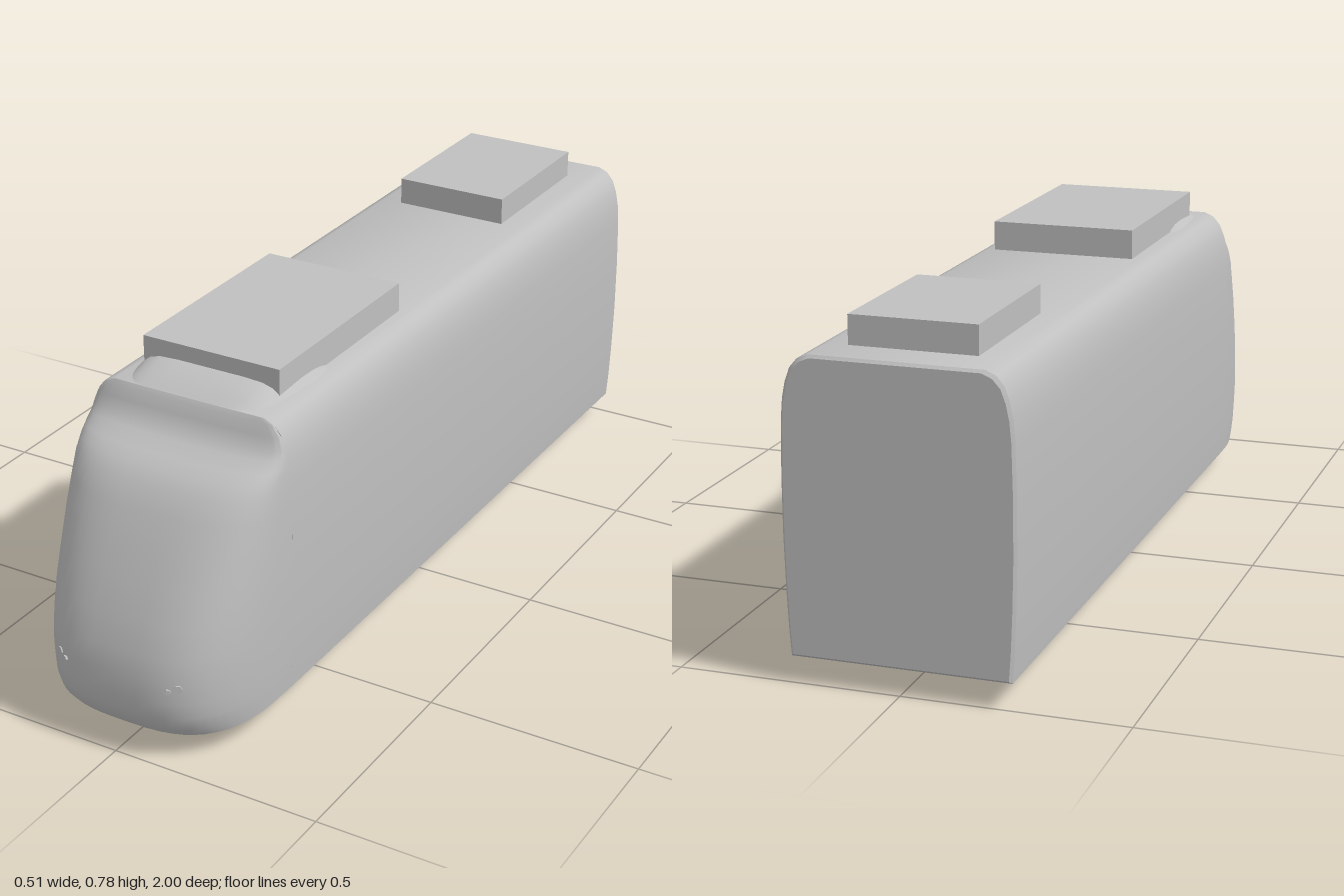
import * as THREE from 'three';
import { toCreasedNormals } from 'three/addons/utils/BufferGeometryUtils.js';

const FLOOR = 0.057, ROOF = 0.71, JOINT = 0.68;

// Half of the body cross-section, floor to roof: [half width, height]
const SIDE = [
  [0.244, FLOOR], [0.248, 0.11], [0.252, 0.2], [0.255, 0.32], [0.255, 0.45], [0.252, 0.57],
  [0.248, 0.615], [0.241, 0.65], [0.23, 0.68], [0.213, 0.7], [0.19, ROOF],
];

// Centre line of the nose: [front z, height]
const NOSE = [
  [0.965, FLOOR], [0.985, 0.08], [0.998, 0.115], [1, 0.15], [0.999, 0.2], [0.988, 0.255],
  [0.965, 0.32], [0.935, 0.39], [0.9, 0.46], [0.865, 0.525], [0.835, 0.57], [0.805, 0.597],
  [0.775, 0.613], [0.735, 0.632], [0.713, 0.65], [0.7, 0.675], [0.69, 0.7], [0.682, ROOF],
];

// Skins rings of points; optional fans close the ends
function loft(rings, { closed = false, caps = false, crease = 0.6 } = {}) {
  const n = rings[0].length, index = [], last = (rings.length - 1) * n;
  for (let i = 0; i < rings.length - 1; i++) {
    for (let j = 0; j < (closed ? n : n - 1); j++) {
      const k = (j + 1) % n, a = i * n + j, b = i * n + k;
      index.push(a, b, b + n, a, b + n, a + n);
    }
  }
  if (caps) {
    for (let j = 1; j < n - 1; j++) index.push(0, j + 1, j, last, last + j, last + j + 1);
  }
  const g = new THREE.BufferGeometry();
  g.setAttribute('position', new THREE.Float32BufferAttribute(rings.flat(2), 3));
  g.setIndex(index);
  return toCreasedNormals(g, crease);
}

// Body half width at a height
function widthAt(y) {
  for (let i = 1; i < SIDE.length; i++) {
    const [w0, y0] = SIDE[i - 1], [w1, y1] = SIDE[i];
    if (y <= y1) return w0 + (w1 - w0) * (y - y0) / (y1 - y0);
  }
  return SIDE[SIDE.length - 1][0];
}

function bodySection(z, inset) {
  const mid = (FLOOR + ROOF) / 2;
  const half = SIDE.map(([x, y]) => [x - inset, y + (y > mid ? -1 : 1) * inset * Math.abs(y - mid) / (ROOF - mid), z]);
  return [...half, ...half.map(([x, y]) => [-x, y, z]).reverse()];
}

// Rounded plan curve of the nose at one height
function nosePlan([front, y]) {
  const steps = 28, w = widthAt(y), ring = [];
  for (let i = 0; i <= steps; i++) {
    const a = Math.PI * (1 - i / steps), c = Math.cos(a), s = Math.max(0, Math.sin(a));
    ring.push([w * Math.sign(c) * Math.abs(c) ** (2 / 3), y, JOINT + (front - JOINT) * s ** (2 / 3)]);
  }
  return ring;
}

export function createModel() {
  const group = new THREE.Group();
  const grey = new THREE.MeshStandardMaterial({ color: 0xc0c0c0 });
  grey.name = 'plain grey';

  const add = (name, geometry, x = 0, y = 0, z = 0) => {
    const mesh = new THREE.Mesh(geometry, grey);
    mesh.name = name;
    mesh.position.set(x, y, z);
    group.add(mesh);
    return mesh;
  };

  // Long body with a small bevel round the rear end
  add('body', loft([bodySection(-1, 0.006), bodySection(-0.993, 0), bodySection(JOINT, 0)], { closed: true, caps: true }));

  // Sloping nose with a brow above the windscreen
  add('nose', loft(NOSE.map(nosePlan), { caps: true, crease: 0.75 }));

  // Low cowl on the roof: [z, half width, rise]
  const arch = [[1, 0], [0.93, 0.35], [0.84, 0.72], [0.7, 0.93], [0.45, 1], [0, 1]];
  const cowl = [
    [0.395, 0.192, 0], [0.41, 0.194, 0.012], [0.45, 0.196, 0.024], [0.5, 0.194, 0.029],
    [0.59, 0.186, 0.031], [0.625, 0.178, 0.024], [0.655, 0.168, 0.013], [JOINT, 0.15, 0],
  ].map(([z, w, h]) => {
    const half = arch.map(([u, v]) => [u * w, ROOF - 0.004 + v * (h + 0.004), z]);
    return [...half, ...half.slice(0, -1).reverse().map(([x, y]) => [-x, y, z])];
  });
  add('roofCowl', loft(cowl, { crease: 0.8 }));

  // Roof equipment boxes
  add('frontRoofBox', new THREE.BoxGeometry(0.346, 0.075, 0.52), 0, 0.7415, 0.33);
  add('rearRoofBox', new THREE.BoxGeometry(0.284, 0.07, 0.384), 0, 0.74, -0.705);

  for (const side of [-1, 1]) {
    // Wheels showing below the floor
    for (const z of [0, -0.39]) {
      const wheel = new THREE.CylinderGeometry(0.06, 0.06, 0.022, 8);
      wheel.rotateY(Math.PI / 8);
      wheel.rotateZ(Math.PI / 2);
      add('wheel', toCreasedNormals(wheel, 0.5), side * 0.161, 0.0555, z);
    }
    // Small six-sided lamps set into the nose
    for (const [x, y, z, r] of [[0.15, 0.192, 0.973, 0.01], [0.131, 0.184, 0.983, 0.007]]) {
      const lamp = new THREE.CylinderGeometry(r, r, 0.008, 6);
      lamp.rotateY(Math.PI / 6);
      lamp.rotateX(Math.PI / 2);
      const mesh = add('headlamp', toCreasedNormals(lamp, 0.5), side * x, y, z);
      mesh.rotation.y = side * 0.5;
    }
  }
  return group;
}
